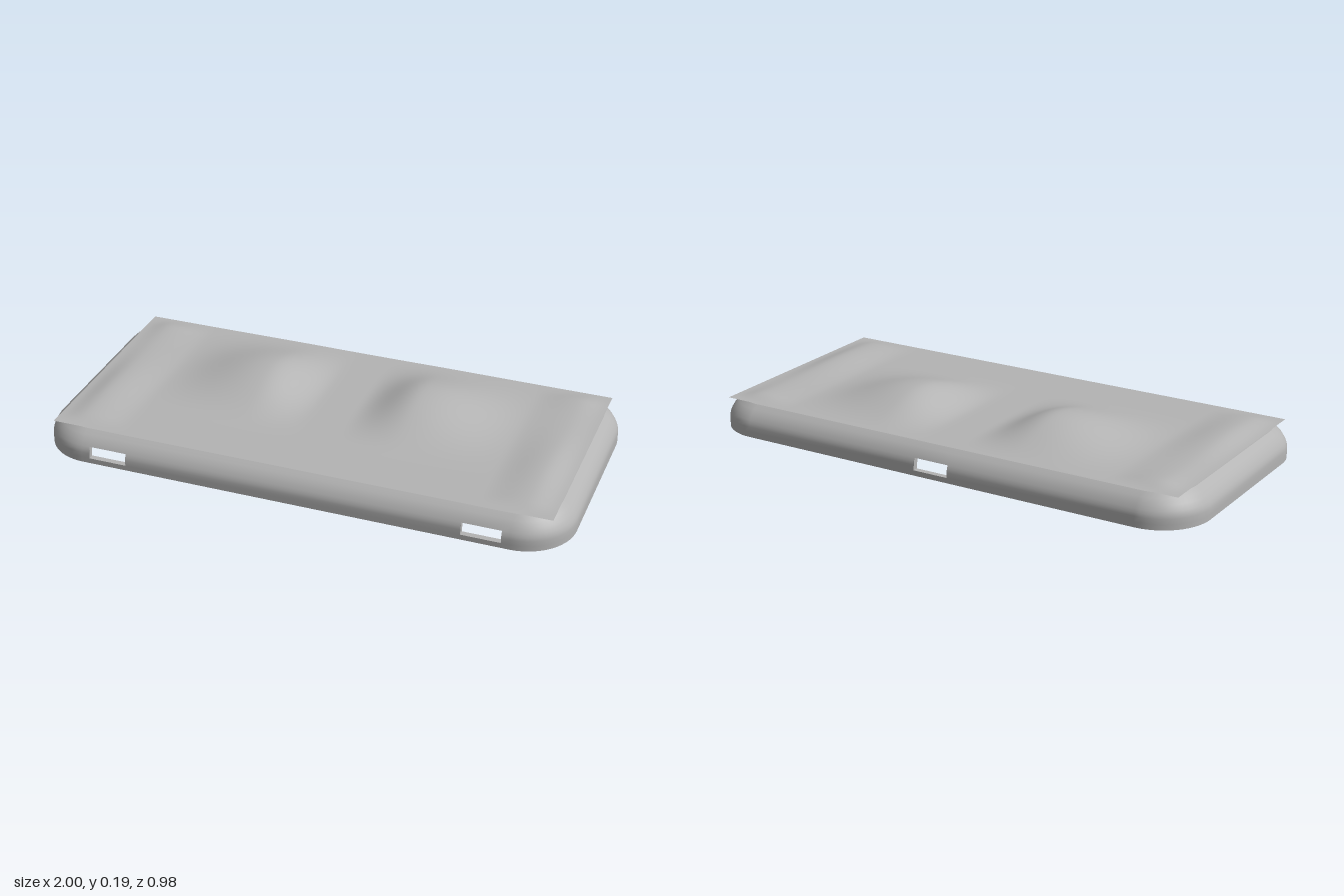
import * as THREE from 'three';
import { toCreasedNormals } from 'three/addons/utils/BufferGeometryUtils.js';

const HX = 1, HZ = 0.49, R = 0.19;          // half length, half depth, corner radius
const SILL = 0.02, LINTEL = 0.065;          // port opening heights
// Ports: x range and side (1 = front, -1 = back)
const PORTS = [[-0.78, -0.635, 1], [0.635, 0.78, 1], [-0.07, 0.07, -1]];

// Rounded rectangle shrunk by an inset, with points at the port edges
function loop(inset) {
  const pts = [], n = 14, r = R - inset;
  const corner = (sx, sz, start) => {
    for (let i = 0; i <= n; i++) {
      const a = start + (i / n) * Math.PI / 2;
      pts.push([sx * (HX - R) + r * Math.cos(a), sz * (HZ - R) + r * Math.sin(a)]);
    }
  };
  corner(1, 1, 0);
  for (const x of [0.78, 0.635, -0.635, -0.78]) pts.push([x, HZ - inset]);
  corner(-1, 1, Math.PI / 2);
  corner(-1, -1, Math.PI);
  for (const x of [-0.07, 0.07]) pts.push([x, inset - HZ]);
  corner(1, -1, Math.PI * 1.5);
  return pts;
}

function geometryFrom(positions, index) {
  const g = new THREE.BufferGeometry();
  g.setAttribute('position', new THREE.Float32BufferAttribute(positions, 3));
  g.setIndex(index);
  g.computeVertexNormals();
  return g;
}

// Skin over rows of [inset, y], leaving the ports open
function skin(rows) {
  const pos = [], index = [], loops = rows.map(([inset]) => loop(inset));
  const n = loops[0].length;
  rows.forEach(([, y], j) => loops[j].forEach(([x, z]) => pos.push(x, y, z)));
  for (let j = 0; j < rows.length - 1; j++) {
    const midY = (rows[j][1] + rows[j + 1][1]) / 2;
    for (let i = 0; i < n; i++) {
      const k = (i + 1) % n;
      const midX = (loops[j][i][0] + loops[j][k][0]) / 2;
      const midZ = (loops[j][i][1] + loops[j][k][1]) / 2;
      const open = midY > SILL && midY < LINTEL && PORTS.some(([x0, x1, s]) =>
        midX > x0 && midX < x1 && midZ * s > 0.4);
      if (open) continue;
      const a = j * n + i, b = a + n, c = j * n + k, d = c + n;
      index.push(a, b, c, b, d, c);
    }
  }
  return geometryFrom(pos, index);
}

// Flat cap filling one loop
function cap(inset, y, up) {
  const pts = loop(inset), pos = [0, y, 0], index = [], n = pts.length;
  pts.forEach(([x, z]) => pos.push(x, y, z));
  for (let i = 0; i < n; i++) {
    const a = 1 + i, b = 1 + (i + 1) % n;
    if (up) index.push(0, b, a); else index.push(0, a, b);
  }
  return geometryFrom(pos, index);
}

// Four reveal faces through the wall thickness of a port
function reveal([x0, x1, s]) {
  const ring = [[x0, SILL], [x1, SILL], [x1, LINTEL], [x0, LINTEL]];
  const pos = [], index = [];
  ring.forEach(([xa, ya], i) => {
    const [xb, yb] = ring[(i + 1) % 4], v = i * 4;
    const out = y => s * (HZ - (y > 0.05 ? 0.008 : 0));
    const inn = y => s * (HZ - (y > 0.05 ? 0.028 : 0.022));
    pos.push(xa, ya, out(ya), xb, yb, out(yb), xb, yb, inn(yb), xa, ya, inn(ya));
    if (s > 0) index.push(v, v + 2, v + 1, v, v + 3, v + 2);
    else index.push(v, v + 1, v + 2, v, v + 2, v + 3);
  });
  return geometryFrom(pos, index);
}

// Cosine bump: 1 at the centre, 0 at the given reach on either side
function bump(t, centre, low, high) {
  const u = (t - centre) / (t < centre ? low : high);
  return Math.abs(u) >= 1 ? 0 : Math.cos(u * Math.PI / 2) ** 2;
}

// Two palm-like humps and a low ridge near each end
function sheetHeight(x, z) {
  const ax = Math.abs(x);
  const hump = 0.07 * bump(ax, 0.3, 0.23, 0.4) * bump(z, -0.12, 0.34, 0.38);
  const fade = THREE.MathUtils.smoothstep(0.44 - Math.abs(z), 0, 0.09);
  const ridge = (0.0145 + 0.0055 * Math.cos((z - 0.15) * Math.PI / 0.35))
    * fade * bump(ax, 0.84, 0.17, 0.105);
  return 0.117 + hump + ridge;
}

export function createModel() {
  const group = new THREE.Group();
  const grey = new THREE.MeshStandardMaterial({ color: 0xb4b4b4, side: THREE.DoubleSide });
  grey.name = 'grey';
  const add = (name, geometry) => {
    const mesh = new THREE.Mesh(geometry, grey);
    mesh.name = name;
    group.add(mesh);
    return mesh;
  };

  // Hollow shell, open underneath
  add('outerWall', skin([[0, 0], [0, SILL], [0, 0.04], [0.003, 0.053], [0.008, LINTEL],
    [0.019, 0.083], [0.035, 0.099], [0.055, 0.113]]));
  add('innerWall', skin([[0.08, 0.1], [0.058, 0.093], [0.04, 0.08], [0.028, LINTEL],
    [0.024, 0.053], [0.022, 0.04], [0.022, SILL], [0.022, 0]]));
  add('bottomRim', skin([[0.022, 0], [0, 0]]));
  add('topPlate', cap(0.055, 0.113, true));
  add('ceiling', cap(0.08, 0.1, false));
  PORTS.forEach(p => add('portReveal', reveal(p)));

  // Sculpted sheet with square corners
  const sheet = new THREE.PlaneGeometry(1.89, 0.876, 120, 60).rotateX(-Math.PI / 2);
  const p = sheet.attributes.position;
  for (let i = 0; i < p.count; i++) p.setY(i, sheetHeight(p.getX(i), p.getZ(i)));
  sheet.computeVertexNormals();
  add('sculptedSheet', sheet);

  // Screw bosses under the ceiling
  const profile = [[0.02, 0.1], [0.02, 0.008], [0.037, 0.008], [0.037, 0.1]]
    .map(([r, y]) => new THREE.Vector2(r, y));
  const boss = toCreasedNormals(new THREE.LatheGeometry(profile, 28), 0.6);
  for (const s of [-1, 1]) {
    for (const [x, z] of [[0.85, 0.36], [0.85, -0.37], [0.35, 0.38]]) {
      add('screwBoss', boss).position.set(s * x, 0, z);
    }
  }
  return group;
}
